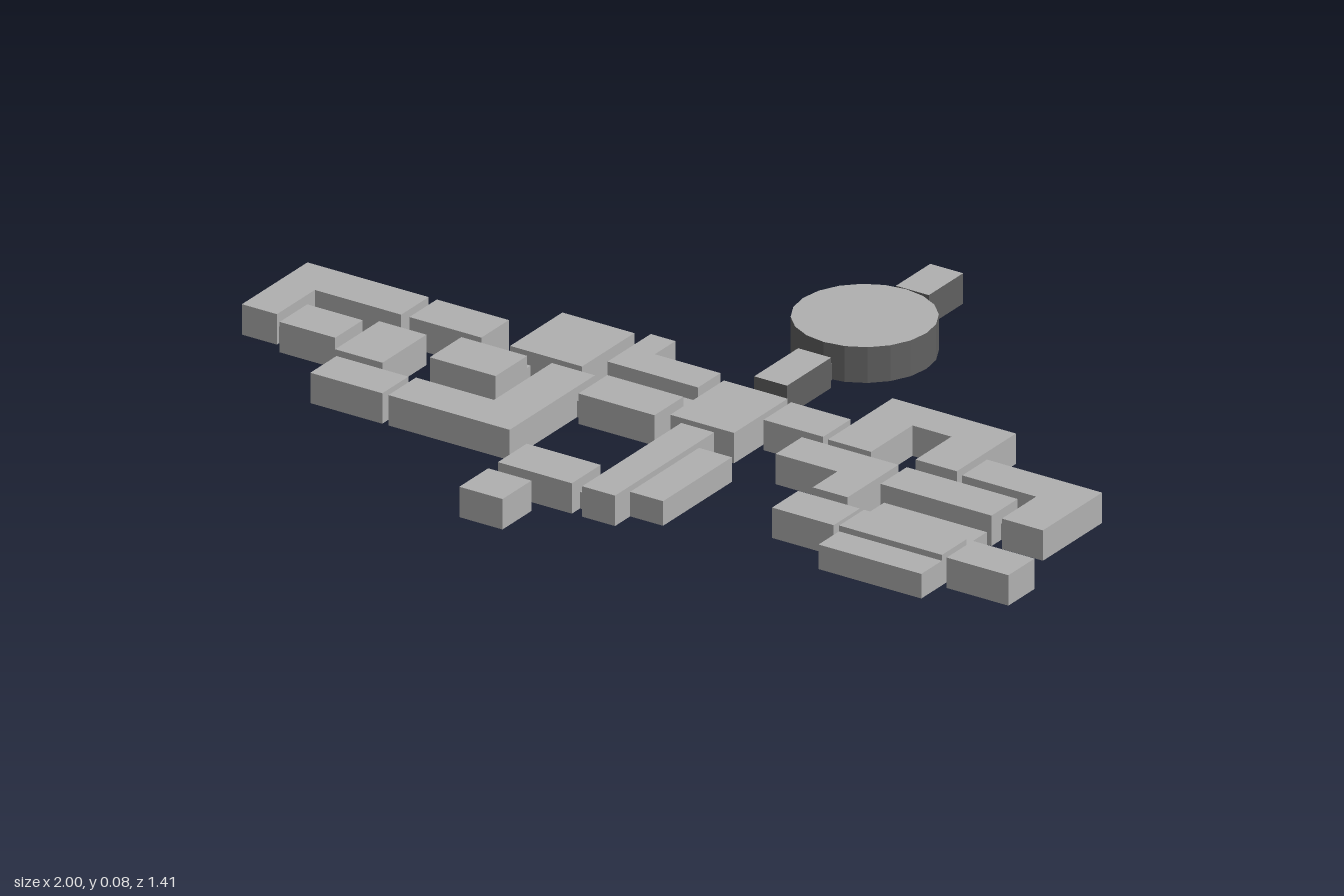
import * as THREE from 'three';

const ROOM = 0.068, HALL = 0.037, SIDE = 0.055, DOME = 0.08;

export function createModel() {
  const model = new THREE.Group();
  const grey = new THREE.MeshStandardMaterial({ color: 0xb0b0b0 });
  grey.name = 'lightGrey';
  const dark = new THREE.MeshStandardMaterial({ color: 0x606060 });
  dark.name = 'darkGrey';

  // Floor plan outline [x, z] raised to a height; caps are grey, walls selectable
  function block(name, plan, height, wall = grey) {
    const shape = new THREE.Shape(plan.map(([x, z]) => new THREE.Vector2(x, -z)));
    const geo = new THREE.ExtrudeGeometry(shape, { depth: height, bevelEnabled: false });
    geo.rotateX(-Math.PI / 2);
    const mesh = new THREE.Mesh(geo, [grey, wall]);
    mesh.name = name;
    model.add(mesh);
  }
  const rect = (x0, x1, z0, z1) => [[x0, z0], [x1, z0], [x1, z1], [x0, z1]];

  // Plain rectangular rooms: x0, x1, z0, z1
  const rooms = {
    centralHall: [0.01, 0.165, -0.015, 0.18],
    southHall: [0.05, 0.13, 0.2, 0.56],
    southWestRoom: [-0.155, 0.025, 0.455, 0.56],
    southEndRoom: [-0.155, -0.05, 0.595, 0.7],
    westRoomUpper: [-0.685, -0.51, -0.01, 0.09],
    westRoomMiddle: [-0.545, -0.385, 0.11, 0.225],
    westRoomLarge: [-0.44, -0.265, -0.1, 0.09],
    westRoomInner: [-0.2, -0.015, 0.095, 0.2],
    westRoomLower: [-0.705, -0.53, 0.325, 0.42],
    westRoomTall: [-0.725, -0.61, 0.14, 0.3],
    westRoomSmall: [-0.89, -0.755, 0.155, 0.255],
    eastRoomInner: [0.18, 0.325, -0.005, 0.095],
    eastRoomLong: [0.545, 0.815, 0.12, 0.215],
    eastRoomLower: [0.425, 0.575, 0.335, 0.43],
    eastNave: [0.585, 0.835, 0.335, 0.425],
    eastEndRoom: [0.85, 1, 0.335, 0.43],
  };
  for (const [name, r] of Object.entries(rooms)) block(name, rect(...r), ROOM);

  // Lower side aisles
  block('southAisle', rect(0.13, 0.21, 0.255, 0.505), SIDE);
  block('eastAisleBack', rect(0.585, 0.835, 0.262, 0.335), SIDE);
  block('eastAisleFront', rect(0.585, 0.835, 0.425, 0.5), SIDE);

  // Angled rooms
  block('westCornerRoom', [[-1, -0.01], [-0.705, -0.01], [-0.705, 0.09],
    [-0.915, 0.09], [-0.915, 0.228], [-1, 0.228]], ROOM);
  block('westEntryRoom', [[-0.235, -0.115], [-0.175, -0.115], [-0.175, -0.04],
    [-0.015, -0.04], [-0.015, 0.042], [-0.235, 0.042]], ROOM);
  block('westBentRoom', [[-0.325, 0.11], [-0.22, 0.11], [-0.22, 0.42],
    [-0.515, 0.42], [-0.515, 0.32], [-0.325, 0.32]], ROOM);
  block('eastHorseshoeRoom', [[0.34, -0.135], [0.64, -0.135], [0.64, 0.08], [0.54, 0.08],
    [0.54, -0.05], [0.445, -0.05], [0.445, 0.1], [0.34, 0.1]], ROOM);
  block('eastCornerRoom', [[0.66, 0], [0.94, 0], [0.94, 0.215],
    [0.84, 0.215], [0.84, 0.09], [0.66, 0.09]], ROOM);
  block('eastBentRoom', [[0.29, 0.12], [0.525, 0.12], [0.525, 0.305],
    [0.44, 0.305], [0.44, 0.215], [0.29, 0.215]], ROOM);

  // Low corridors linking the rooms
  const corridors = [
    [-0.705, -0.685, 0.025, 0.055], [-0.545, -0.515, 0.09, 0.11], [-0.42, -0.39, 0.09, 0.11],
    [-0.265, -0.235, -0.1, -0.07], [-0.015, 0.01, -0.01, 0.02], [-0.055, -0.025, 0.042, 0.095],
    [-0.22, -0.2, 0.145, 0.175], [-0.53, -0.515, 0.355, 0.385], [-0.68, -0.65, 0.3, 0.325],
    [-0.755, -0.725, 0.16, 0.19], [-0.915, -0.89, 0.19, 0.22], [0.07, 0.105, 0.18, 0.2],
    [0.025, 0.05, 0.5, 0.53], [-0.115, -0.085, 0.56, 0.595], [0.165, 0.18, 0.03, 0.06],
    [0.325, 0.34, 0.03, 0.06], [0.64, 0.66, 0.03, 0.06], [0.815, 0.84, 0.15, 0.18],
    [0.525, 0.545, 0.15, 0.18], [0.295, 0.325, 0.095, 0.12], [0.47, 0.5, 0.305, 0.335],
    [0.575, 0.585, 0.365, 0.395], [0.835, 0.85, 0.365, 0.395],
  ];
  corridors.forEach((c, i) => block(`corridor${i + 1}`, rect(...c), HALL));

  // North wing with dark walls: halls, round chamber and short links
  block('northHall', rect(0.05, 0.13, -0.225, -0.065), ROOM, dark);
  block('northEndRoom', rect(0.05, 0.13, -0.705, -0.58), ROOM, dark);
  const circle = Array.from({ length: 20 }, (_, i) => {
    const a = (i / 20) * Math.PI * 2;
    return [0.09 + 0.15 * Math.cos(a), -0.407 + 0.15 * Math.sin(a)];
  });
  block('roundChamber', circle, DOME, dark);
  [[-0.065, -0.015], [-0.258, -0.225], [-0.58, -0.555]].forEach(([z0, z1], i) =>
    block(`northCorridor${i + 1}`, rect(0.07, 0.11, z0, z1), HALL, dark));

  // Pale doorway on the far end wall
  const door = new THREE.Mesh(new THREE.BoxGeometry(0.045, 0.038, 0.004), grey);
  door.name = 'northDoorway';
  door.position.set(0.09, 0.034, -0.706);
  model.add(door);

  return model;
}
